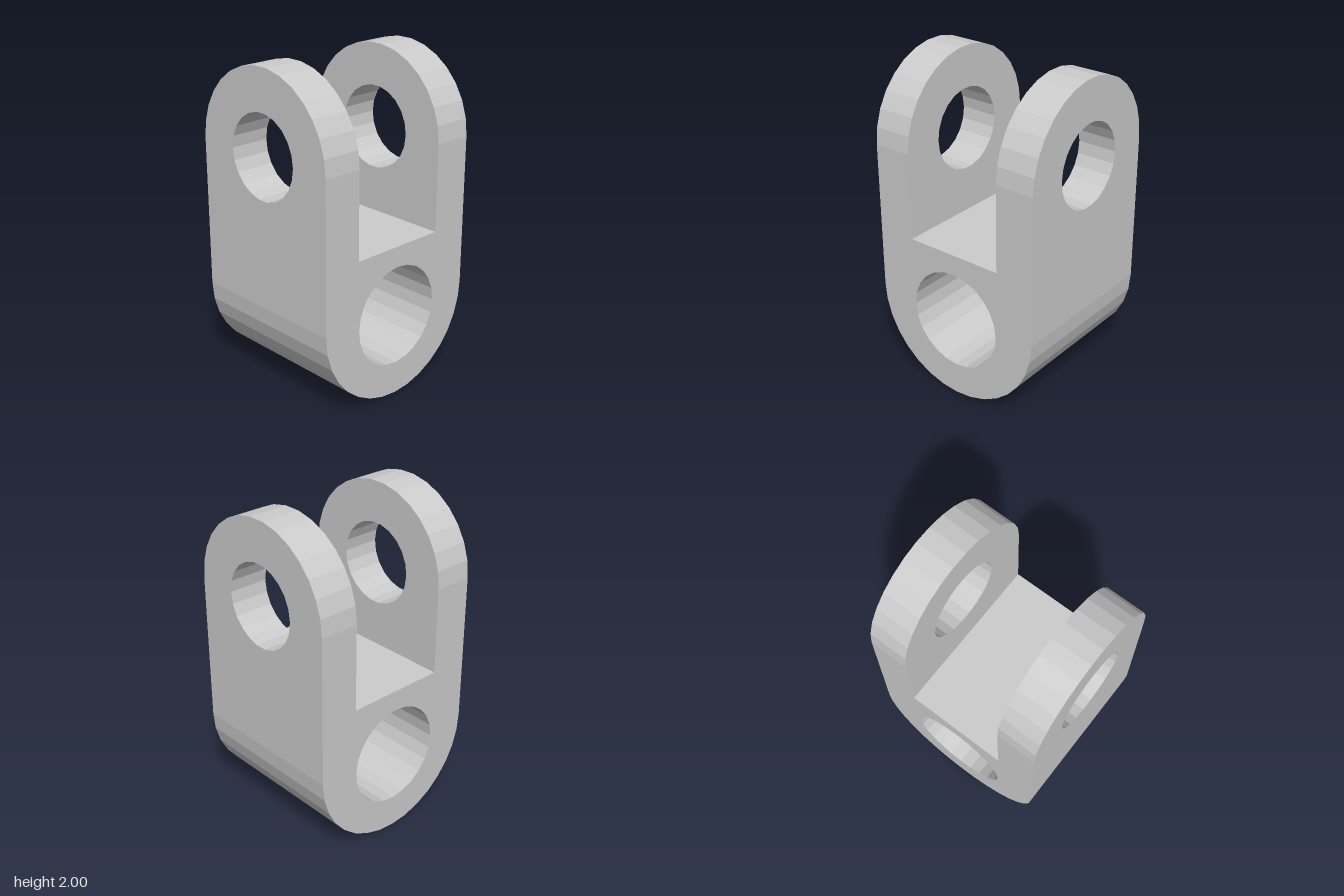
import * as THREE from 'three';

const HALF_W = 0.565;   // half width (x), also the lower rounding radius
const HALF_D = 0.513;   // half depth (z), also the lug rounding radius
const FLOOR = 0.953;    // slot floor height
const SLOT = 0.318;     // half width of the slot
const LUG_Y = 1.49;     // lug pin-hole height

// Points along a faceted arc
function arc(cy, r, from, to, segments) {
  return Array.from({ length: segments + 1 }, (_, i) => {
    const a = from + ((to - from) * i) / segments;
    return new THREE.Vector2(r * Math.cos(a), cy + r * Math.sin(a));
  });
}

// Extruded plate with one round hole, centred on its thickness
function plate(outline, holeY, holeR, holeSides, thickness) {
  const shape = new THREE.Shape(outline);
  const ring = arc(holeY, holeR, 0, -Math.PI * 2, holeSides);
  ring.pop();
  shape.holes.push(new THREE.Path(ring));
  const geometry = new THREE.ExtrudeGeometry(shape, { depth: thickness, bevelEnabled: false });
  return geometry.translate(0, 0, -thickness / 2);
}

export function createModel() {
  const group = new THREE.Group();
  group.name = 'clevis';
  const material = new THREE.MeshStandardMaterial({ color: 0xcccccc, flatShading: true });

  // Lower block: rounded underside, cross bore from front to back
  const blockOutline = [
    ...arc(HALF_W, HALF_W, Math.PI, Math.PI * 2, 16),
    new THREE.Vector2(HALF_W, FLOOR),
    new THREE.Vector2(-HALF_W, FLOOR),
  ];
  const block = new THREE.Mesh(plate(blockOutline, 0.515, 0.31, 24, HALF_D * 2), material);
  block.name = 'lowerBlock';
  group.add(block);

  // Two round-topped lugs with aligned pin holes
  const lugOutline = [
    new THREE.Vector2(-HALF_D, FLOOR),
    new THREE.Vector2(HALF_D, FLOOR),
    ...arc(LUG_Y, HALF_D, 0, Math.PI, 15),
  ];
  const lugGeometry = plate(lugOutline, LUG_Y, 0.257, 22, HALF_W - SLOT).rotateY(Math.PI / 2);
  for (const side of [1, -1]) {
    const lug = new THREE.Mesh(lugGeometry, material);
    lug.name = side > 0 ? 'leftLug' : 'rightLug';
    lug.position.x = (side * (HALF_W + SLOT)) / 2;
    group.add(lug);
  }
  return group;
}
